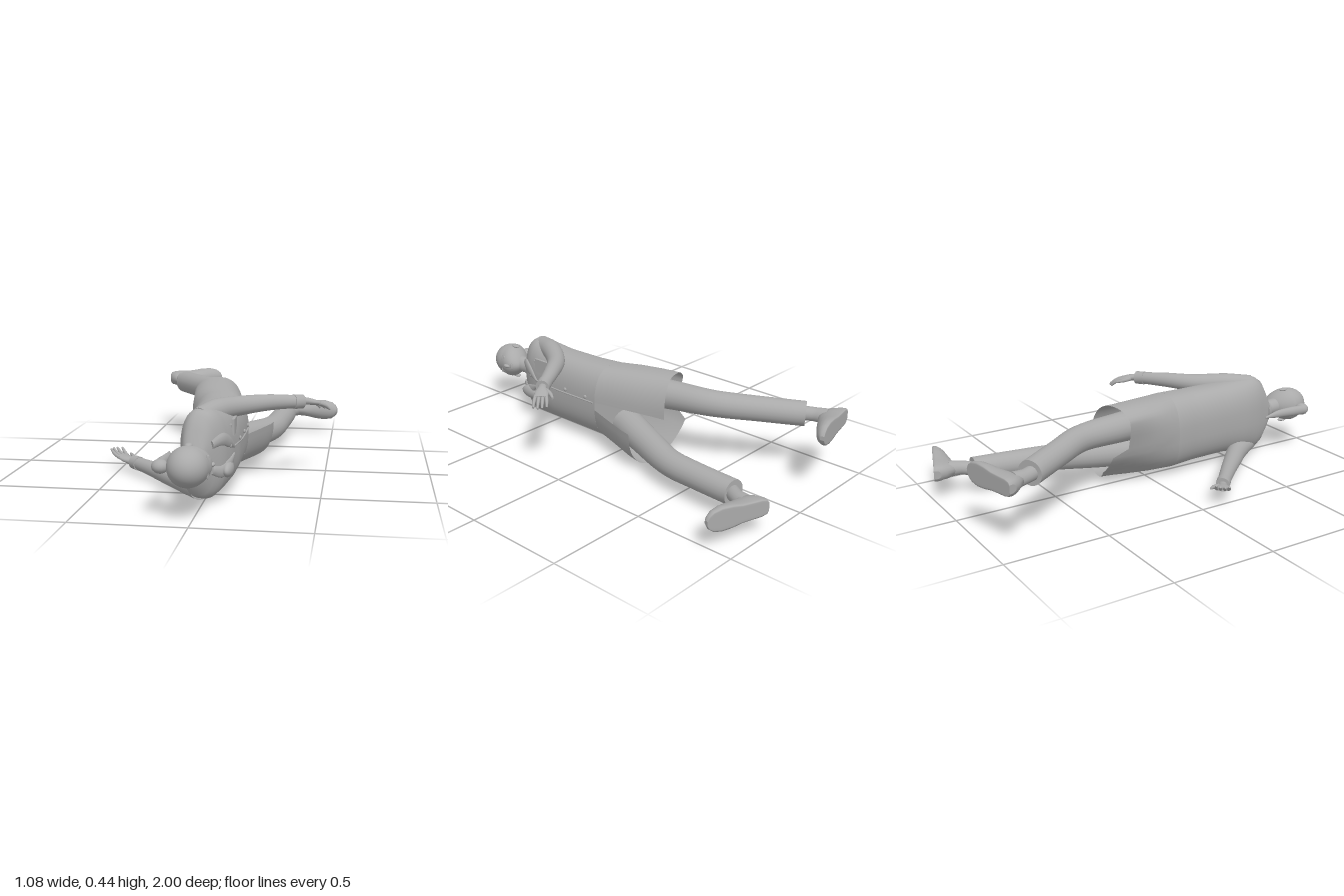
import * as THREE from 'three';

const grey = new THREE.MeshStandardMaterial({ color: 0xaaaaaa, side: THREE.DoubleSide });
grey.name = 'grey';
const V = (x, y, z) => new THREE.Vector3(x, y, z);
const UP = V(0, 1, 0);

function add(group, name, geometry) {
  const mesh = new THREE.Mesh(geometry, grey);
  mesh.name = name;
  group.add(mesh);
  return mesh;
}

// Skin a list of rings (arrays of points); closed rings wrap round, caps are fans
function loft(rings, closed = true, caps = true) {
  const pos = [], idx = [], n = rings[0].length;
  rings.forEach(r => r.forEach(p => pos.push(p.x, p.y, p.z)));
  for (let i = 0; i < rings.length - 1; i++) {
    for (let j = 0; j < (closed ? n : n - 1); j++) {
      const a = i * n + j, b = i * n + (j + 1) % n;
      idx.push(a, b, a + n, b, b + n, a + n);
    }
  }
  if (caps) [0, rings.length - 1].forEach((k, end) => {
    const base = pos.length / 3, c = V(0, 0, 0);
    rings[k].forEach(p => { pos.push(p.x, p.y, p.z); c.addScaledVector(p, 1 / n); });
    pos.push(c.x, c.y, c.z);
    for (let j = 0; j < n; j++) {
      const a = base + j, b = base + (j + 1) % n;
      if (end) idx.push(base + n, a, b); else idx.push(base + n, b, a);
    }
  });
  const g = new THREE.BufferGeometry();
  g.setAttribute('position', new THREE.Float32BufferAttribute(pos, 3));
  g.setIndex(idx);
  g.computeVertexNormals();
  return g;
}

// Tube along a curve; each radius is [across, vertical]
function limb(points, radii, steps = 24, sides = 20) {
  const curve = new THREE.CatmullRomCurve3(points), rings = [];
  for (let i = 0; i <= steps; i++) {
    const t = i / steps, f = t * (radii.length - 1), k = Math.min(Math.floor(f), radii.length - 2);
    const ra = THREE.MathUtils.lerp(radii[k][0], radii[k + 1][0], f - k);
    const rb = THREE.MathUtils.lerp(radii[k][1], radii[k + 1][1], f - k);
    const p = curve.getPoint(t), T = curve.getTangent(t);
    const U = T.clone().cross(UP).normalize(), W = T.clone().cross(U);
    rings.push(Array.from({ length: sides }, (_, j) => {
      const a = j / sides * Math.PI * 2;
      return p.clone().addScaledVector(U, ra * Math.cos(a)).addScaledVector(W, rb * Math.sin(a));
    }));
  }
  return loft(rings);
}
const round = list => list.map(r => [r, r]);

// Coat sections: z, centre x, half depth, half width
const CY = 0.22;
const coat = [
  [-0.22, -0.005, 0.132, 0.2], [-0.1, -0.008, 0.138, 0.197], [0, -0.008, 0.141, 0.193], [0.12, 0, 0.135, 0.187],
  [0.25, 0.01, 0.127, 0.183], [0.45, 0.015, 0.122, 0.183], [0.58, 0.006, 0.112, 0.192], [0.65, 0, 0.096, 0.198],
  [0.69, -0.008, 0.076, 0.18], [0.715, -0.015, 0.063, 0.13], [0.745, -0.022, 0.046, 0.055]];
function coatAt(z) {
  let i = 0;
  while (i < coat.length - 2 && z > coat[i + 1][0]) i++;
  const f = (z - coat[i][0]) / (coat[i + 1][0] - coat[i][0]);
  return coat[i].map((v, k) => v + (coat[i + 1][k] - v) * f);
}
const bend = v => Math.sign(v) * Math.abs(v) ** 0.8;
function coatPoint(z, a) {
  const [, cx, rx, ry] = coatAt(z), c = Math.cos(a), s = Math.sin(a);
  const p = V(cx + rx * bend(c), CY + ry * bend(s), z);
  // below the waist the left side swings back and the right side forward
  const t = THREE.MathUtils.clamp((0.12 - z) / 0.32, 0, 1);
  const w = c > 0 ? Math.sign(s) : THREE.MathUtils.clamp(s * 1.4, -1, 1);
  p.x += t * (w > 0 ? -0.065 : -0.1) * w;
  p.z += t * c * (w > 0 ? -0.045 : 0.03);
  return p;
}
function frontX(y, z) {
  const [, cx, rx, ry] = coatAt(z);
  const s = Math.min(1, Math.abs((y - CY) / ry)) ** 1.25;
  return cx + rx * Math.sqrt(1 - s * s) ** 0.8;
}

function buildCoat(g) {
  const arc = (z, gap) => Array.from({ length: 49 }, (_, j) => coatPoint(z, gap + j / 48 * (Math.PI * 2 - 2 * gap)));
  add(g, 'coatSkirt', loft([-0.22, -0.16, -0.1, -0.05, 0, 0.06, 0.12].map(z => arc(z, 0.06)), false, false));
  const rings = [];
  for (let z = 0.12; z < 0.746; z += 0.025) rings.push(arc(z, 0).slice(0, 48));
  add(g, 'coatBody', loft(rings));
  // front edge, lapels and pockets lie just above the chest
  const strip = (name, pts, r) => add(g, name, limb(pts.map(([y, z]) => V(frontX(y, z) + 0.002, y, z)), r, 16, 8));
  strip('frontEdge', [[0.237, 0.56], [0.237, 0.4], [0.237, 0.25], [0.237, 0.13]], round([0.004, 0.004]));
  for (const s of [-1, 1]) {
    strip('lapel', [[CY + s * 0.055, 0.71], [CY + s * 0.07, 0.66], [CY + s * 0.05, 0.61], [CY + s * 0.015, 0.55]],
      [[0.01, 0.018], [0.012, 0.028], [0.01, 0.025], [0.005, 0.006]]);
  }
  const plate = (name, y, z, h, d) => add(g, name, new THREE.BoxGeometry(0.012, h, d))
    .position.set(frontX(y, z) + 0.001, y, z);
  plate('breastPocket', 0.32, 0.51, 0.07, 0.09);
  plate('pocketPen', 0.33, 0.56, 0.012, 0.03);
  const pouch = add(g, 'chestPouch', new THREE.SphereGeometry(1, 20, 12));
  pouch.scale.set(0.025, 0.034, 0.07);
  pouch.position.set(frontX(0.15, 0.61), 0.15, 0.61);
  for (const [y, z] of [[0.25, 0.6], [0.256, 0.46], [0.256, 0.32], [0.256, 0.18]]) {
    const b = add(g, 'button', new THREE.SphereGeometry(0.01, 12, 8));
    b.scale.x = 0.6;
    b.position.set(frontX(y, z) + 0.004, y, z);
  }
}

function buildHand(g, name, wrist, dx, dz, curl) {
  const hand = new THREE.Group();
  hand.name = name;
  const D = V(dx, 0, dz).normalize(), S = V(dz, 0, -dx).normalize();
  if (S.z > 0) S.negate();
  const at = (f, s, y) => wrist.clone().addScaledVector(D, f).addScaledVector(S, s).addScaledVector(UP, y * curl);
  add(hand, 'palm', limb([at(-0.02, 0, 0), at(0.03, 0, 0), at(0.065, 0, 0.15), at(0.105, 0, 0.35)],
    [[0.02, 0.018], [0.021, 0.017], [0.034, 0.015], [0.034, 0.01]], 14, 14));
  for (let i = 0; i < 4; i++) {
    const s = (i - 1.5) * 0.017, l = [0.052, 0.06, 0.056, 0.042][i];
    add(hand, 'finger', limb([at(0.095, s, 0.3), at(0.1 + l * 0.5, s * 1.15, 0.6), at(0.1 + l, s * 1.2, 1.05)],
      round([0.009, 0.0085, 0.005]), 8, 8));
  }
  add(hand, 'thumb', limb([at(0.04, 0.018, 0.1), at(0.07, 0.042, 0.25), at(0.105, 0.055, 0.4)],
    round([0.012, 0.01, 0.006]), 8, 8));
  g.add(hand);
}

function buildArm(g, side, pts, dir, curl) {
  add(g, side + 'Sleeve', limb(pts, round([0.046, 0.05, 0.044, 0.037, 0.029])));
  const end = pts[pts.length - 1], d = end.clone().sub(pts[pts.length - 2]).normalize();
  add(g, side + 'Cuff', limb([end.clone().addScaledVector(d, -0.035), end.clone().addScaledVector(d, 0.012)],
    round([0.034, 0.033]), 2));
  buildHand(g, side + 'Hand', end, dir[0], dir[1], curl);
}

// Shoe sections from heel to toe: forward, half width, height
const shoe = [[0, 0.02, 0.035], [0.008, 0.034, 0.06], [0.035, 0.041, 0.1], [0.08, 0.042, 0.112], [0.13, 0.044, 0.095],
  [0.18, 0.053, 0.08], [0.23, 0.056, 0.064], [0.27, 0.047, 0.048], [0.292, 0.03, 0.034], [0.302, 0.01, 0.022]];
function buildLeg(g, side, pts, heel, fx, fz) {
  add(g, side + 'TrouserLeg', limb(pts, round([0.078, 0.071, 0.063, 0.06, 0.059])));
  const F = V(fx, 0, fz).normalize(), U = V(-fz, 0, fx).normalize();
  if (U.z < 0) U.negate();
  const S = F.clone().cross(U);
  const at = (f, u, s) => heel.clone().addScaledVector(F, f).addScaledVector(U, u).addScaledVector(S, s);
  const rings = shoe.map(([f, w, h]) => Array.from({ length: 20 }, (_, j) => {
    const a = j / 20 * Math.PI * 2, s = Math.sin(a);
    // flat sole under a domed upper
    return at(f, s < 0 ? 0.012 * (1 - Math.min(1, -s * 3)) : 0.012 + (h - 0.012) * s, -w * Math.cos(a));
  }).reverse());
  add(g, side + 'Shoe', loft(rings));
  add(g, side + 'Ankle', limb([pts[4].clone().addScaledVector(U, 0.02), at(0.072, 0.13, 0), at(0.07, 0.07, 0)],
    round([0.034, 0.033, 0.039]), 10));
}

function buildHead(g) {
  const head = new THREE.Group();
  head.name = 'head';
  head.position.set(-0.018, 0.225, 0.895);
  g.add(head);
  // skull with the jaw narrowed and carried forward
  const geo = new THREE.SphereGeometry(1, 36, 28), p = geo.attributes.position;
  for (let i = 0; i < p.count; i++) {
    const z = p.getZ(i), k = Math.max(0, -z);
    p.setXYZ(i, 0.087 * p.getX(i) + 0.035 * k, 0.086 * p.getY(i) * (1 - 0.3 * k * k), 0.105 * z);
  }
  geo.computeVertexNormals();
  add(head, 'skull', geo);
  const blob = (name, x, y, z, sx, sy, sz) => {
    const m = add(head, name, new THREE.SphereGeometry(1, 16, 12));
    m.position.set(x, y, z);
    m.scale.set(sx, sy, sz);
  };
  blob('nose', 0.09, 0, -0.05, 0.014, 0.01, 0.02);
  blob('mouth', 0.08, 0, -0.078, 0.006, 0.02, 0.006);
  for (const s of [-1, 1]) {
    blob('eye', 0.079, s * 0.032, -0.022, 0.006, 0.014, 0.007);
    blob('eyebrow', 0.08, s * 0.033, -0.002, 0.005, 0.018, 0.004);
    blob('ear', 0.0, s * 0.084, -0.025, 0.016, 0.008, 0.026);
  }
  blob('hairBun', -0.112, 0, 0.01, 0.036, 0.03, 0.036);
  // limb frames use the y axis, so the tail runs straight down the back
  add(head, 'ponytail', limb([V(-0.128, 0, 0.02), V(-0.118, 0, -0.06), V(-0.112, 0, -0.15), V(-0.125, 0, -0.245)],
    [[0.02, 0.024], [0.02, 0.025], [0.015, 0.02], [0.003, 0.004]], 20, 14));
  add(g, 'neck', limb([V(-0.02, CY, 0.7), V(-0.014, 0.222, 0.76), V(-0.008, 0.225, 0.84)],
    round([0.046, 0.04, 0.043]), 10));
  add(g, 'collar', limb([V(-0.022, CY, 0.72), V(-0.018, CY, 0.755)], round([0.062, 0.048]), 4));
}

export function createModel() {
  const g = new THREE.Group();
  g.name = 'recliningFigure';
  buildCoat(g);
  buildHead(g);
  buildArm(g, 'left', [V(-0.012, 0.375, 0.645), V(0.04, 0.388, 0.52), V(0.135, 0.387, 0.385), V(0.25, 0.388, 0.295),
    V(0.385, 0.38, 0.21)], [0.12, -0.105], -0.045);
  buildArm(g, 'right', [V(-0.012, 0.062, 0.645), V(-0.08, 0.052, 0.525), V(-0.18, 0.052, 0.415), V(-0.28, 0.054, 0.31),
    V(-0.405, 0.056, 0.185)], [-0.13, -0.1], 0.045);
  buildLeg(g, 'left', [V(-0.03, 0.3, 0), V(-0.07, 0.31, -0.2), V(-0.115, 0.315, -0.42), V(-0.22, 0.308, -0.6),
    V(-0.335, 0.3, -0.785)], V(-0.455, 0.3, -0.935), 0.295, -0.06);
  buildLeg(g, 'right', [V(0.03, 0.135, 0), V(0.11, 0.125, -0.2), V(0.195, 0.12, -0.42), V(0.22, 0.124, -0.6),
    V(0.237, 0.128, -0.81)], V(0.245, 0.135, -1), 0.285, 0.1);
  return g;
}
